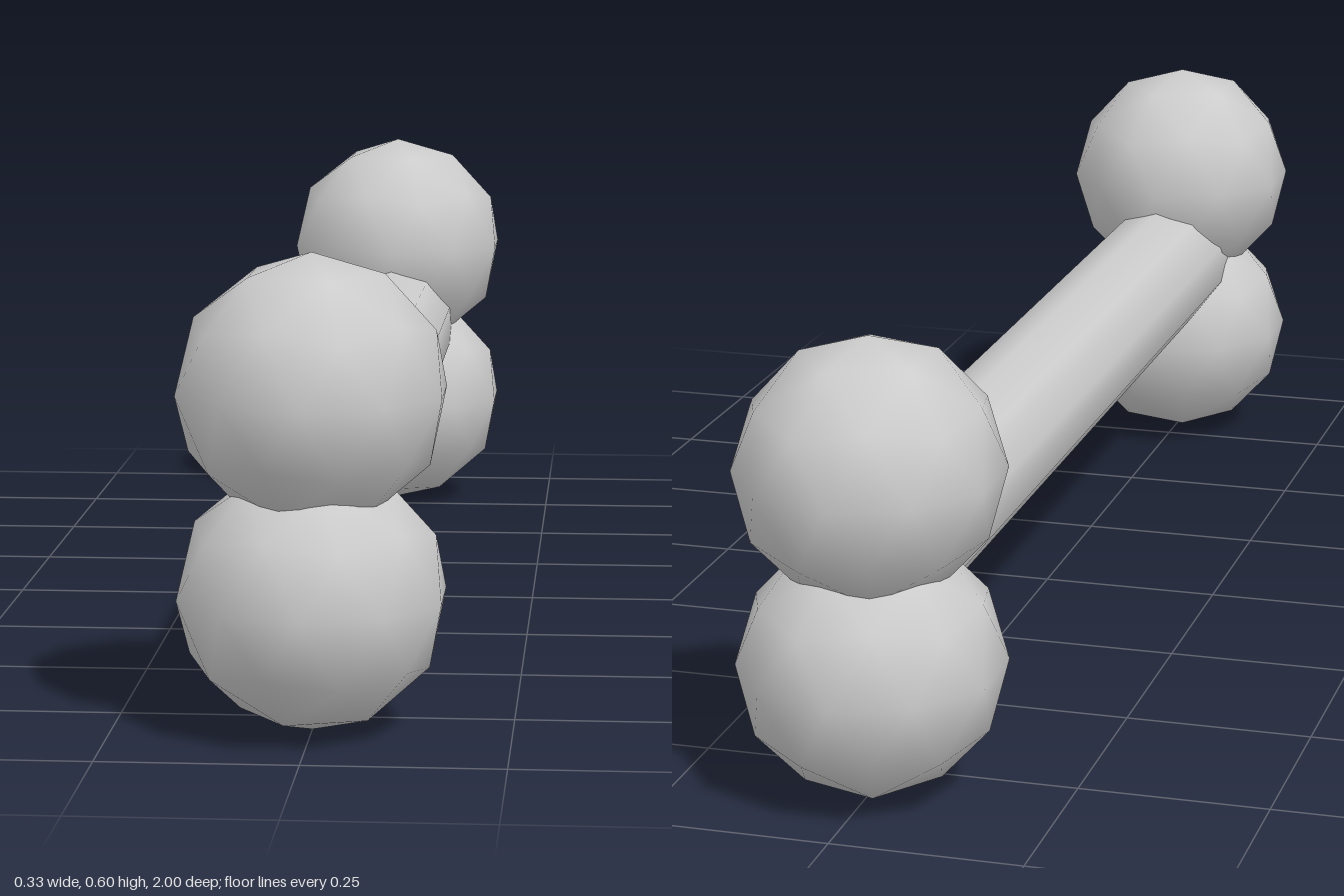
import * as THREE from 'three';

export function createModel() {
  const group = new THREE.Group();
  const material = new THREE.MeshStandardMaterial({ color: 0xcccccc });

  // Low-poly ball with a corner straight up, slightly stretched along the bone
  const knob = new THREE.IcosahedronGeometry(1, 1);
  knob.rotateZ(-Math.atan(2 / (1 + Math.sqrt(5))));
  knob.scale(0.172, 0.172, 0.182);

  // A pair of stacked knobs at each end
  for (const [end, z] of [['front', 0.818], ['back', -0.818]]) {
    for (const [level, y] of [['Upper', 0.429], ['Lower', 0.174]]) {
      const mesh = new THREE.Mesh(knob, material);
      mesh.name = `${end}${level}Knob`;
      mesh.position.set(0, y, z);
      group.add(mesh);
    }
  }

  // Ten-sided shaft with an edge along its top, buried in the knobs
  const shaftGeometry = new THREE.CylinderGeometry(0.096, 0.096, 1.62, 10);
  shaftGeometry.rotateX(Math.PI / 2);
  const shaft = new THREE.Mesh(shaftGeometry, material);
  shaft.name = 'shaft';
  shaft.position.y = 0.304;
  group.add(shaft);

  return group;
}
